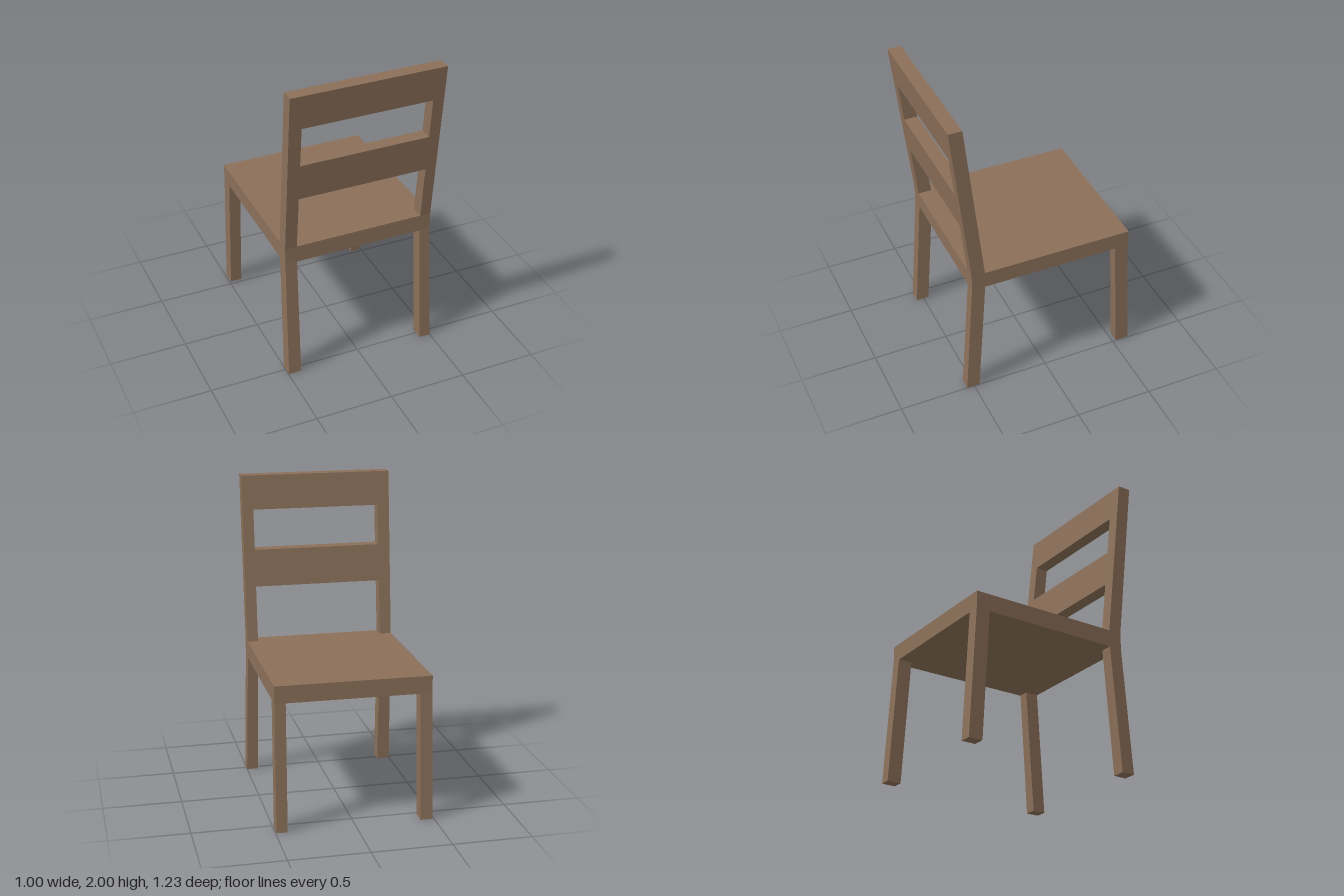
import * as THREE from 'three';

const wood = new THREE.MeshStandardMaterial({ color: 0x8b7059, flatShading: true });

// Box sheared between a bottom and a top rectangle, each given as [x0, x1, z0, z1]
function beam(name, y0, bottom, y1, top) {
  const geometry = new THREE.BoxGeometry(1, 1, 1);
  const p = geometry.attributes.position;
  for (let i = 0; i < p.count; i++) {
    const upper = p.getY(i) > 0;
    const r = upper ? top : bottom;
    p.setXYZ(i, p.getX(i) < 0 ? r[0] : r[1], upper ? y1 : y0, p.getZ(i) < 0 ? r[2] : r[3]);
  }
  geometry.computeVertexNormals();
  const mesh = new THREE.Mesh(geometry, wood);
  mesh.name = name;
  return mesh;
}

export function createModel() {
  const chair = new THREE.Group();
  chair.name = 'chair';
  const seatBottom = 0.81, seatTop = 0.92, height = 2;
  const inner = { left: 0.421, right: -0.41 };
  const outer = { left: 0.49, right: -0.486 };

  // Front and back z of the leaning backrest at height y
  const lean = (y) => {
    const t = (y - seatTop) / (height - seatTop);
    return [0.409 + 0.121 * t, 0.496 + 0.12 * t];
  };

  // Seat slab
  const seat = [outer.right, outer.left, -0.57, 0.496];
  chair.add(beam('seat', seatBottom, seat, seatTop, seat));

  for (const side of ['left', 'right']) {
    const s = side === 'left' ? 1 : -1;
    // x range running from low to high, with a sideways offset
    const span = (a = 0, b = a) => [inner[side] + s * a, outer[side] + s * b].sort((m, n) => m - n);

    // Splayed legs
    chair.add(beam(`${side}FrontLeg`, 0, [...span(0.004), -0.614, -0.524],
      seatBottom, [...span(), -0.57, -0.48]));
    chair.add(beam(`${side}BackLeg`, 0, [...span(0.005, 0.011), 0.465, 0.55],
      seatBottom, [...span(), 0.409, 0.496]));

    // Backrest posts
    chair.add(beam(`${side}BackPost`, seatTop, [...span(), ...lean(seatTop)],
      height, [...span(0, 0.003), ...lean(height)]));
  }

  // Backrest slats, flush with the posts
  for (const [name, y0, y1] of [['middleSlat', 1.28, 1.52], ['topSlat', 1.78, height]]) {
    chair.add(beam(name, y0, [inner.right, inner.left, ...lean(y0)],
      y1, [inner.right, inner.left, ...lean(y1)]));
  }
  return chair;
}
